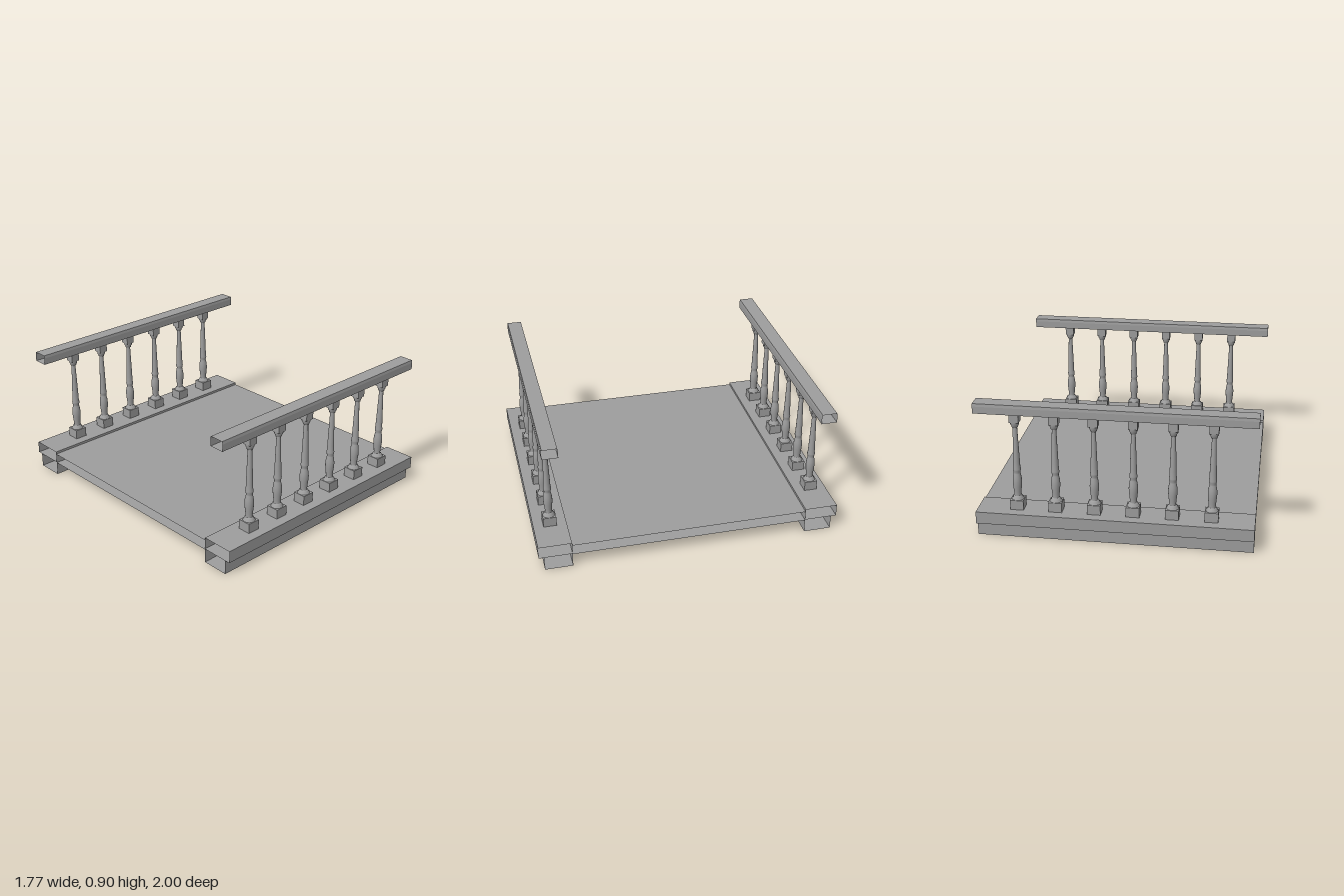
import * as THREE from 'three';

const HALF = 0.887; // half length of the span along x
const material = new THREE.MeshStandardMaterial({ color: 0x9d9d9d, side: THREE.DoubleSide });

// Open-ended beam along x from a [z, y] section (counter-clockwise), side = 1 front, -1 back.
// closed = false leaves out the face from the last point to the first.
function beam(name, section, side = 1, closed = true) {
  const pos = [];
  section.forEach((a, i) => {
    if (!closed && i === section.length - 1) return;
    const b = section[(i + 1) % section.length];
    // Swapping the x ends on the mirrored side keeps faces turned outwards
    const x0 = -HALF * side, x1 = HALF * side;
    const A = [x0, a[1], a[0] * side], B = [x0, b[1], b[0] * side];
    const C = [x1, b[1], b[0] * side], D = [x1, a[1], a[0] * side];
    pos.push(...A, ...C, ...B, ...A, ...D, ...C);
  });
  const geo = new THREE.BufferGeometry();
  geo.setAttribute('position', new THREE.Float32BufferAttribute(pos, 3));
  geo.computeVertexNormals();
  const mesh = new THREE.Mesh(geo, material);
  mesh.name = name;
  return mesh;
}

const rect = (z0, z1, y0, y1) => [[z0, y0], [z1, y0], [z1, y1], [z0, y1]];

function block(name, w, y0, y1) {
  const mesh = new THREE.Mesh(new THREE.BoxGeometry(w, y1 - y0, w), material);
  mesh.position.y = (y0 + y1) / 2;
  mesh.name = name;
  return mesh;
}

// Turned parts of a baluster: radius, height
const turned = {
  footRing: [[0.041, 0.238], [0.039, 0.246], [0.032, 0.252], [0.031, 0.260], [0.023, 0.266]],
  shaft: [
    [0.023, 0.264], [0.022, 0.272], [0.024, 0.295], [0.028, 0.330], [0.030, 0.360],
    [0.028, 0.390], [0.022, 0.418], [0.021, 0.426], [0.025, 0.440], [0.026, 0.450],
    [0.023, 0.465], [0.022, 0.500], [0.018, 0.620], [0.014, 0.738],
  ],
  collar: [[0.014, 0.735], [0.020, 0.738], [0.022, 0.748], [0.028, 0.758], [0.029, 0.774]],
};
const turnedGeometry = Object.entries(turned).map(([name, profile]) => [
  name,
  new THREE.LatheGeometry(profile.map(([r, y]) => new THREE.Vector2(r, y)), 16),
]);

function baluster() {
  const g = new THREE.Group();
  g.name = 'baluster';
  g.add(block('footBlock', 0.086, 0.175, 0.242), block('topBlock', 0.06, 0.772, 0.84));
  for (const [name, geometry] of turnedGeometry) {
    const mesh = new THREE.Mesh(geometry, material);
    mesh.name = name;
    g.add(mesh);
  }
  return g;
}

export function createModel() {
  const model = new THREE.Group();
  model.name = 'balustradeBridge';

  // Deck between the two side beams
  model.add(beam('deck', rect(-0.782, 0.782, 0.092, 0.16)));

  for (const side of [1, -1]) {
    const group = new THREE.Group();
    group.name = side > 0 ? 'frontBalustrade' : 'backBalustrade';

    // Stepped side beam: narrower lower part, wider kerb on top
    group.add(beam('lowerBeam', rect(0.782, 0.964, 0, 0.096), side));
    group.add(beam('kerb', rect(0.782, 1, 0.096, 0.177), side));

    // Hollow handrail: channel below, slightly tapered cap above
    group.add(beam('handrailChannel',
      [[0.838, 0.878], [0.838, 0.832], [0.94, 0.832], [0.94, 0.878]], side, false));
    group.add(beam('handrailCap',
      [[0.94, 0.878], [0.937, 0.897], [0.841, 0.897], [0.838, 0.878]], side, false));

    // Six evenly spaced balusters
    for (let i = 0; i < 6; i++) {
      const b = baluster();
      b.position.set(0.009 + (i - 2.5) * 0.249, 0, side * 0.891);
      group.add(b);
    }
    model.add(group);
  }
  return model;
}
